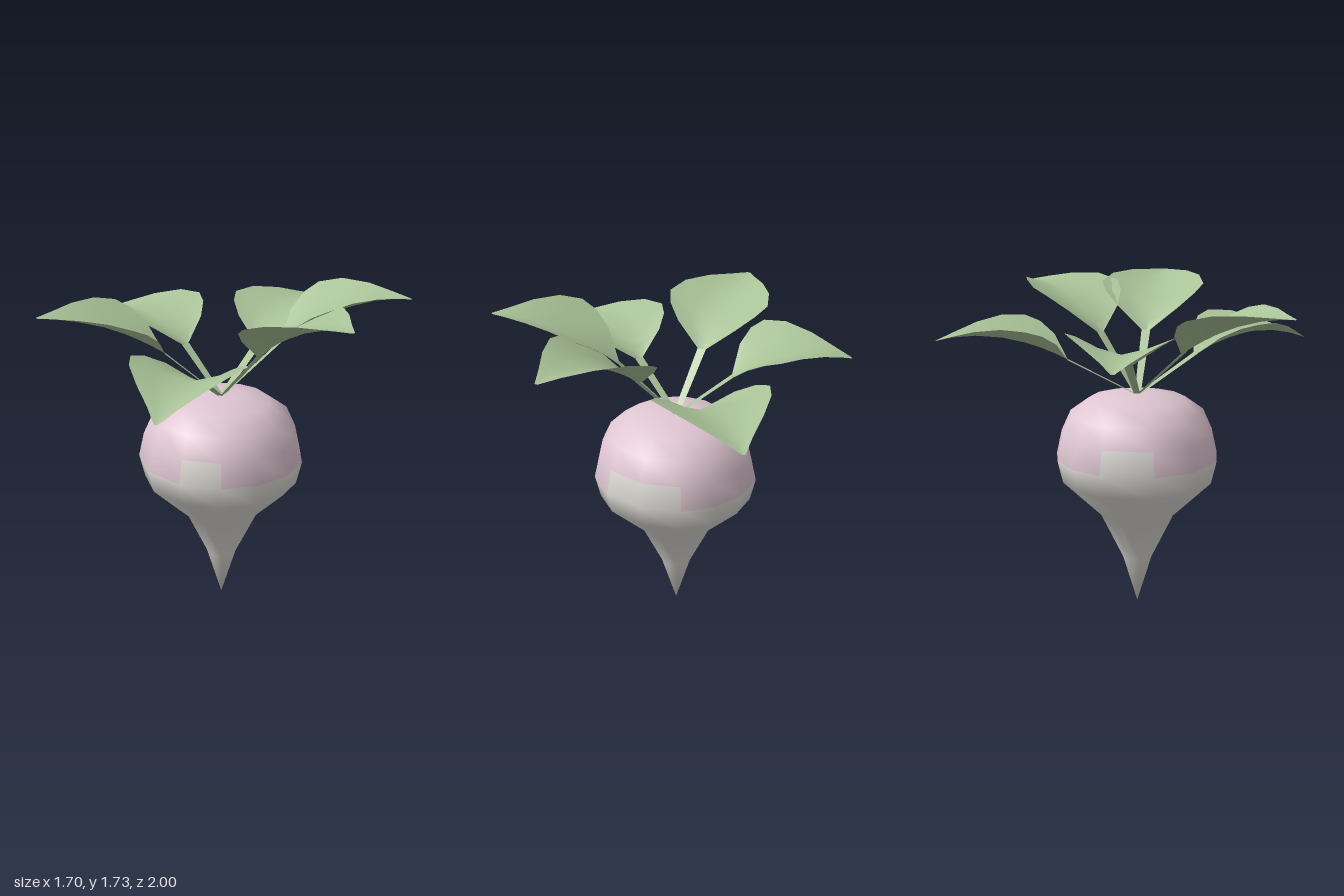
import * as THREE from 'three';
import { mergeVertices } from 'three/addons/utils/BufferGeometryUtils.js';

const paint = (name, color, side = THREE.FrontSide) => {
  const m = new THREE.MeshStandardMaterial({ color, side });
  m.name = name;
  return m;
};

// Root centre line sits slightly forward of the origin
const CZ = 0.02;

// Smooth sheet through rows of points
function sheet(rows) {
  const cols = rows[0].length, pos = [], idx = [];
  rows.forEach((row, i) => row.forEach((p, j) => {
    pos.push(p.x, p.y, p.z);
    if (i && j) {
      const d = i * cols + j, c = d - 1, b = d - cols, a = b - 1;
      idx.push(a, b, d, a, d, c);
    }
  }));
  const g = new THREE.BufferGeometry();
  g.setAttribute('position', new THREE.Float32BufferAttribute(pos, 3));
  g.setIndex(idx);
  g.computeVertexNormals();
  return g;
}

// Root: turned profile with slightly uneven sides, two colours by face
function makeRoot(white, pink) {
  const profile = [[0, 0.005], [0.08, 0.27], [0.2, 0.52], [0.405, 0.72], [0.433, 0.84],
    [0.405, 0.965], [0.355, 1.075], [0.255, 1.147], [0.12, 1.174], [0, 1.176]];
  const angles = [0, 28.5, 54, 79, 104, 133, 162, 185, 209, 233, 270, 300, 330, 360];
  const n = angles.length - 1, np = profile.length;
  let g = new THREE.LatheGeometry(profile.map(p => new THREE.Vector2(...p)), n);
  const pos = g.attributes.position;
  for (let i = 0; i <= n; i++) {
    const a = THREE.MathUtils.degToRad(angles[i]);
    profile.forEach(([r, y], j) =>
      pos.setXYZ(i * np + j, r * Math.sin(a), y, CZ + r * Math.cos(a)));
  }
  g.deleteAttribute('uv');
  g.deleteAttribute('normal');
  g = mergeVertices(g, 1e-4);
  g.computeVertexNormals();
  // Pale sides that reach one band higher into the blush
  const pale = [0, 4, 5, 9];
  for (let i = 0; i < n; i++) {
    const start = i * (np - 1) * 6;
    const whiteCount = (pale.includes(i) ? 5 : 4) * 6;
    g.addGroup(start, whiteCount, 0);
    g.addGroup(start + whiteCount, (np - 1) * 6 - whiteCount, 1);
  }
  const root = new THREE.Mesh(g, [white, pink]);
  root.name = 'root';
  return root;
}

// Leaf rows: position along midrib, half width, height of the raised edge
const BLADE = [[0, 0.022, 0], [0.09, 0.165, 0.075], [0.2, 0.245, 0.1], [0.32, 0.283, 0.1],
  [0.5, 0.245, 0.08], [0.7, 0.16, 0.045], [0.87, 0.07, 0.015], [1, 0.008, 0]];

// Leaf: flat stem ribbon and a cupped, arching blade
function makeLeaf(base, tip, lift, green) {
  const J = new THREE.Vector3(...base), T = new THREE.Vector3(...tip);
  const foot = new THREE.Vector3(0, 1.165, CZ);
  const across = (from, to) =>
    new THREE.Vector3(to.z - from.z, 0, from.x - to.x).normalize();

  const side = across(J, T);
  const blade = new THREE.Mesh(sheet(BLADE.map(([t, w, cup]) => {
    const mid = J.clone().lerp(T, t);
    mid.y += lift * 4 * t * (1 - t);
    return [-1, -0.5, 0, 0.5, 1].map(s => {
      const p = mid.clone().addScaledVector(side, s * w);
      p.y += cup * Math.pow(Math.abs(s), 1.4);
      return p;
    });
  })), green);
  blade.name = 'leafBlade';

  const stemSide = across(foot, J);
  const stem = new THREE.Mesh(sheet([[foot, 0.016], [J, 0.024]].map(([p, w]) =>
    [-1, 1].map(s => p.clone().addScaledVector(stemSide, s * w)))), green);
  stem.name = 'leafStem';

  const leaf = new THREE.Group();
  leaf.add(stem, blade);
  return leaf;
}

export function createModel() {
  const white = paint('rootWhite', 0xdddad5);
  const pink = paint('rootPink', 0xdfc6d2);
  const green = paint('leafGreen', 0xa9c297, THREE.DoubleSide);

  const model = new THREE.Group();
  model.name = 'turnip';
  model.add(makeRoot(white, pink));

  // Stem end, blade tip, arch height
  const leaves = {
    backLeaf: [[0.03, 1.36, -0.34], [0.09, 1.47, -1.0], 0.065],
    frontLeaf: [[0.08, 1.36, 0.35], [0.22, 1.4, 1.0], 0.075],
    backLeftLeaf: [[0.26, 1.46, -0.13], [0.83, 1.68, -0.44], 0.075],
    frontLeftLeaf: [[0.27, 1.46, 0.12], [0.84, 1.72, 0.35], 0.055],
    frontRightLeaf: [[-0.22, 1.42, 0.21], [-0.68, 1.645, 0.63], 0.05],
    backRightLeaf: [[-0.27, 1.38, -0.08], [-0.85, 1.46, -0.26], 0.07],
  };
  for (const [name, [base, tip, lift]] of Object.entries(leaves)) {
    const leaf = makeLeaf(base, tip, lift, green);
    leaf.name = name;
    model.add(leaf);
  }
  return model;
}
